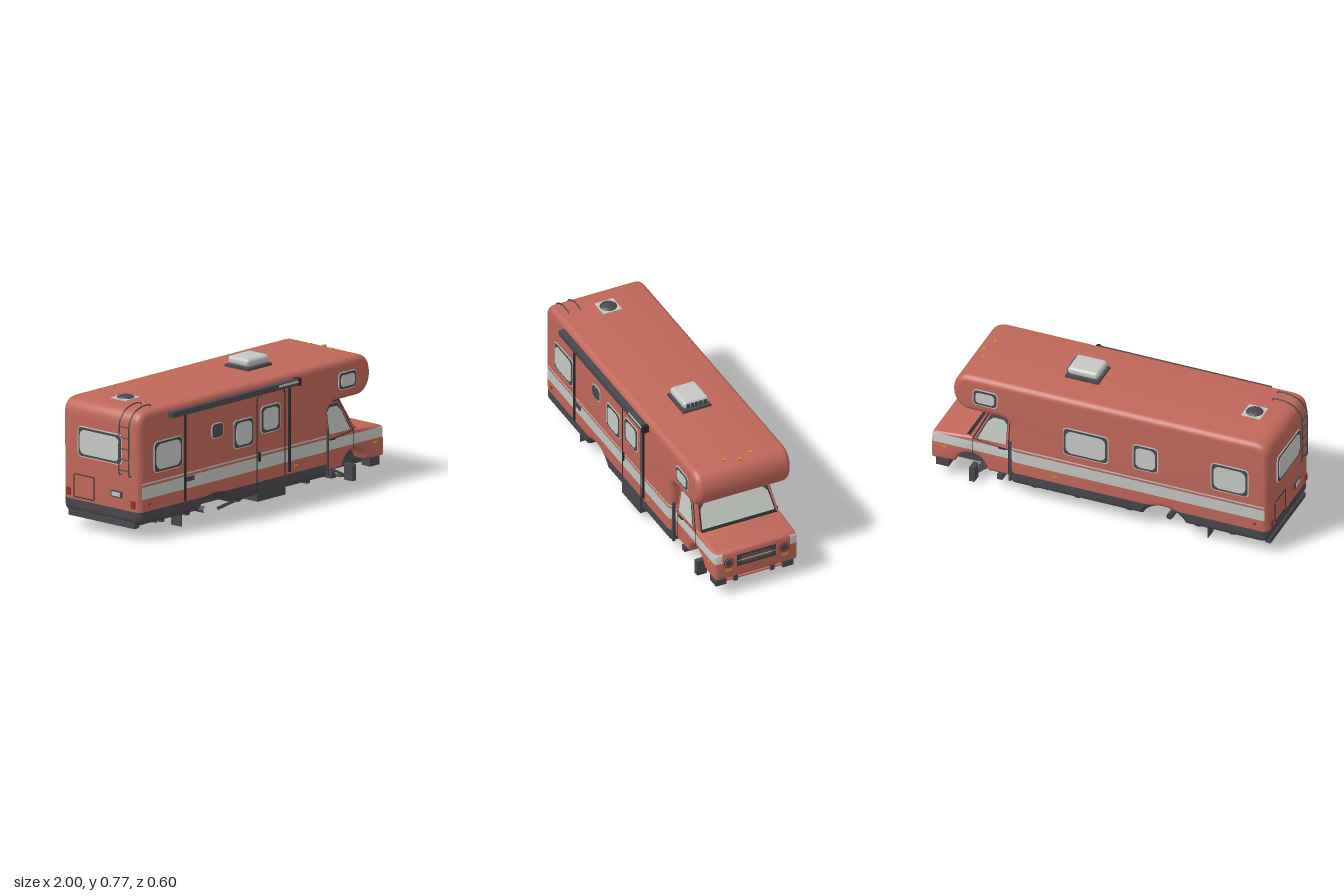
import * as THREE from 'three';
import { toCreasedNormals } from 'three/addons/utils/BufferGeometryUtils.js';
import { RoundedBoxGeometry } from 'three/addons/geometries/RoundedBoxGeometry.js';

const mat = (name, color) => Object.assign(new THREE.MeshStandardMaterial({ color }), { name });
const CZ = -0.015; // centre line of the vehicle

export function createModel() {
  const model = new THREE.Group();
  model.name = 'motorhome';
  const paint = mat('terracotta paint', 0xc0675a), stripe = mat('stripe grey', 0xc3c6c2),
    glass = mat('window glass', 0xc4c8c3), dark = mat('dark plastic', 0x4a484d),
    black = mat('black trim', 0x2a292c), amber = mat('amber lens', 0xcf9026),
    brown = mat('grille brown', 0x80614f), redLens = mat('red lens', 0x9a2f26);
  glass.side = black.side = THREE.DoubleSide;

  const add = (name, geo, material, x = 0, y = 0, z = 0, parent = model) => {
    const m = new THREE.Mesh(geo, material);
    m.name = name;
    m.position.set(x, y, z);
    parent.add(m);
    return m;
  };
  // box given by its limits
  const box = (name, material, x0, x1, y0, y1, z0, z1) =>
    add(name, new THREE.BoxGeometry(x1 - x0, y1 - y0, z1 - z0), material, (x0 + x1) / 2, (y0 + y1) / 2, (z0 + z1) / 2);
  const tube = (name, points, r, material = dark) =>
    add(name, new THREE.TubeGeometry(new THREE.CatmullRomCurve3(points.map(p => new THREE.Vector3(...p)), false, 'catmullrom', 0.2), 32, r, 6), material);

  // cuts a geometry at axis = value, giving [below, above]
  const split = (geo, axis, value) => {
    const p = geo.attributes.position, n = geo.attributes.normal;
    return [-1, 1].map(sign => {
      const pos = [], nor = [];
      for (let i = 0; i < p.count; i += 3) {
        const poly = [];
        const v = [0, 1, 2].map(k => [p.getX(i + k), p.getY(i + k), p.getZ(i + k), n.getX(i + k), n.getY(i + k), n.getZ(i + k)]);
        v.forEach((a, k) => {
          const b = v[(k + 1) % 3], da = sign * (a[axis] - value), db = sign * (b[axis] - value);
          if (da >= 0) poly.push(a);
          if (da * db < 0) poly.push(a.map((c, j) => c + (b[j] - c) * da / (da - db)));
        });
        for (let k = 2; k < poly.length; k++) {
          for (const q of [poly[0], poly[k - 1], poly[k]]) { pos.push(...q.slice(0, 3)); nor.push(...q.slice(3)); }
        }
      }
      const g = new THREE.BufferGeometry();
      g.setAttribute('position', new THREE.Float32BufferAttribute(pos, 3));
      g.setAttribute('normal', new THREE.Float32BufferAttribute(nor, 3));
      return g;
    });
  };
  // side profile extruded across the vehicle with rounded edges
  const hull = (shape, half, r) => {
    const g = new THREE.ExtrudeGeometry(shape, { depth: 2 * (half - r), bevelEnabled: true, bevelSize: r, bevelThickness: r, bevelOffset: -r, bevelSegments: 5, curveSegments: 14 });
    g.translate(0, 0, CZ - half + r);
    return toCreasedNormals(g.index ? g.toNonIndexed() : g, 0.6);
  };

  // living body with overcab bunk, cut into paint bands
  const s = new THREE.Shape();
  s.moveTo(-0.93, 0.08); s.lineTo(-0.49, 0.08);
  s.bezierCurveTo(-0.44, 0.175, -0.29, 0.175, -0.24, 0.08);
  s.lineTo(0.5, 0.08); s.quadraticCurveTo(0.525, 0.08, 0.525, 0.11);
  s.lineTo(0.525, 0.42); s.quadraticCurveTo(0.525, 0.485, 0.6, 0.488);
  s.lineTo(0.76, 0.488); s.bezierCurveTo(0.82, 0.488, 0.86, 0.54, 0.86, 0.6);
  s.bezierCurveTo(0.86, 0.67, 0.82, 0.71, 0.76, 0.71);
  s.lineTo(-0.89, 0.71); s.quadraticCurveTo(-0.98, 0.71, -0.98, 0.62);
  s.lineTo(-0.975, 0.13); s.quadraticCurveTo(-0.975, 0.08, -0.93, 0.08);
  let rest = hull(s, 0.28, 0.035);
  for (const [name, top, m] of [['skirt', 0.155, dark], ['lowerBody', 0.225, paint], ['bodyStripe', 0.293, stripe], ['stripeGap', 0.305, paint], ['bodyPinstripe', 0.314, stripe]]) {
    const [band, above] = split(rest, 1, top);
    rest = above;
    if (m === stripe) {
      const [rear, sides] = split(band, 0, -0.955);
      add(name + 'Rear', rear, paint);
      add(name, sides, m);
    } else add(name, band, m);
  }
  add('upperBody', rest, paint);

  // cab lower body and hood with wheel arch
  const c = new THREE.Shape();
  c.moveTo(0.49, 0.105); c.lineTo(0.67, 0.105);
  c.bezierCurveTo(0.69, 0.215, 0.83, 0.215, 0.86, 0.115);
  c.lineTo(0.985, 0.108); c.quadraticCurveTo(0.997, 0.108, 0.998, 0.13);
  c.lineTo(0.995, 0.255); c.quadraticCurveTo(0.993, 0.278, 0.97, 0.28);
  c.lineTo(0.77, 0.298); c.lineTo(0.49, 0.298); c.closePath();
  const [cabLow, cabUp] = split(hull(c, 0.246, 0.018), 1, 0.215);
  const [cabBand, cabTop] = split(cabUp, 1, 0.272);
  const [leftBand, inner] = split(cabBand, 2, CZ - 0.202);
  const [middle, rightBand] = split(inner, 2, CZ + 0.202);
  add('cabLower', cabLow, paint); add('cabTop', cabTop, paint); add('cabNose', middle, paint);
  add('cabStripe', leftBand, stripe); add('cabStripe', rightBand, stripe);

  // cab greenhouse tapering to the roof
  const halfAt = y => 0.24 - (y - 0.28) * 0.15, frontAt = y => 0.785 - (y - 0.28) * 0.55;
  const gh = new THREE.BoxGeometry(1, 1, 1).toNonIndexed(), gp = gh.attributes.position;
  for (let i = 0; i < gp.count; i++) {
    const y = gp.getY(i) > 0 ? 0.495 : 0.28;
    gp.setXYZ(i, gp.getX(i) > 0 ? frontAt(y) : 0.5, y, CZ + Math.sign(gp.getZ(i)) * halfAt(y));
  }
  gh.computeVertexNormals();
  add('cabGreenhouse', gh, paint);
  // flat polygon facing outward
  const poly = (name, pts, material) => {
    const v = [];
    for (let k = 2; k < pts.length; k++) v.push(...pts[0], ...pts[k - 1], ...pts[k]);
    const g = new THREE.BufferGeometry();
    g.setAttribute('position', new THREE.Float32BufferAttribute(v, 3));
    g.computeVertexNormals();
    add(name, g, material);
  };
  const shield = (name, pts, e, m) => poly(name, pts.map(([z, y]) => [frontAt(y) + e, y, CZ + z]), m);
  shield('windshieldSeal', [[0.226, 0.297], [-0.226, 0.297], [-0.197, 0.474], [0.197, 0.474]], 0.004, black);
  shield('windshieldShade', [[0.219, 0.303], [-0.219, 0.303], [-0.192, 0.468], [0.192, 0.468]], 0.006, dark);
  shield('windshield', [[0.217, 0.305], [-0.217, 0.305], [-0.202, 0.4], [-0.17, 0.43], [0.17, 0.43], [0.202, 0.4]], 0.008, glass);
  for (const d of [1, -1]) {
    const side = (name, pts, e, m) => {
      const q = pts.map(([x, y]) => [x, y, CZ + d * (halfAt(y) + e)]);
      poly(name, d > 0 ? q : q.reverse(), m);
    };
    side('cabWindowSeal', [[0.545, 0.27], [0.758, 0.29], [0.668, 0.475], [0.545, 0.475]], 0.006, black);
    side('cabWindowFrame', [[0.55, 0.275], [0.748, 0.295], [0.663, 0.469], [0.55, 0.469]], 0.008, paint);
    side('cabWindowShade', [[0.558, 0.3], [0.735, 0.3], [0.656, 0.462], [0.558, 0.462]], 0.01, dark);
    side('cabWindow', [[0.56, 0.302], [0.725, 0.302], [0.672, 0.415], [0.64, 0.445], [0.58, 0.445], [0.56, 0.42]], 0.012, glass);
    const z = CZ + d * 0.247;
    box('cabDoorHandle', black, 0.56, 0.605, 0.27, 0.278, z - 0.006, z + 0.006);
    for (const x of [0.545, 0.752]) box('cabDoorSeam', black, x, x + 0.003, x > 0.7 ? 0.19 : 0.12, 0.3, z - 0.001, z + 0.001);
    box('cornerTrim', dark, 0.523, 0.535, 0.09, 0.34, CZ + d * 0.262 - 0.008, CZ + d * 0.262 + 0.008);
    box('fenderMarker', amber, 0.91, 0.935, 0.19, 0.2, z - 0.004, z + 0.004);
    box('bodyMarker', amber, 0.25, 0.275, 0.19, 0.2, CZ + d * 0.28 - 0.004, CZ + d * 0.28 + 0.004);
    const lamp = add('sideLamp', new THREE.CylinderGeometry(0.009, 0.009, 0.008, 12), redLens, -0.9, 0.195, CZ + d * 0.28);
    lamp.rotation.x = Math.PI / 2;
    // front lamps
    const zl = CZ + d * 0.166;
    add('headlightRing', new THREE.TorusGeometry(0.027, 0.002, 6, 28), black, 0.998, 0.209, zl).rotation.y = Math.PI / 2;
    add('headlightSocket', new THREE.CircleGeometry(0.02, 24), dark, 1, 0.209, zl).rotation.y = Math.PI / 2;
    box('indicator', amber, 0.992, 1, 0.156, 0.168, zl - 0.017, zl + 0.017);
    box('hoodSeam', black, 0.79, 0.985, 0.28, 0.282, CZ + d * 0.205 - 0.0015, CZ + d * 0.205 + 0.0015).rotation.z = -0.09;
  }
  box('cowl', black, 0.772, 0.795, 0.29, 0.3, CZ - 0.225, CZ + 0.225);

  // grille
  box('grilleFrame', black, 0.985, 0.998, 0.173, 0.243, CZ - 0.117, CZ + 0.117);
  box('grilleInsert', brown, 0.985, 0.9985, 0.188, 0.229, CZ - 0.09, CZ + 0.09);
  for (const y of [0.182, 0.195, 0.222, 0.235]) box('grilleSlat', dark, 0.99, 1, y - 0.003, y + 0.003, CZ - 0.114, CZ + 0.114);
  box('grilleBar', stripe, 0.99, 1, 0.206, 0.21, CZ - 0.114, CZ + 0.114);

  // framed panels on body walls
  const rr = (w, h, r, S = THREE.Shape) => {
    const q = new S(), x = w / 2, y = h / 2, H = Math.PI / 2;
    [[x - r, y - r], [r - x, y - r], [r - x, r - y], [x - r, r - y]].forEach(([a, b], i) => q.absarc(a, b, r, i * H, (i + 1) * H));
    q.closePath();
    return q;
  };
  const slab = (shape, depth) => new THREE.ExtrudeGeometry(shape, { depth, bevelEnabled: false, curveSegments: 5 });
  const wall = (name, face, a0, a1, y0, y1) => {
    const g = new THREE.Group(), a = (a0 + a1) / 2, y = (y0 + y1) / 2;
    g.name = name;
    if (face === 'rear') { g.position.set(-0.979, y, a); g.rotation.y = -Math.PI / 2; }
    else { g.position.set(a, y, CZ + face * 0.279); g.rotation.y = face > 0 ? 0 : Math.PI; }
    model.add(g);
    return [g, a1 - a0, y1 - y0];
  };
  const windowOn = (face, a0, a1, y0, y1, pane = glass) => {
    const [g, w, h] = wall('window', face, a0, a1, y0, y1);
    add('windowFrame', slab(rr(w, h, 0.025), 0.004), stripe, 0, 0, 0, g);
    add('windowSeal', slab(rr(w - 0.012, h - 0.012, 0.02), 0.006), dark, 0, 0, 0, g);
    add('windowPane', slab(rr(w - 0.036, h - 0.036, Math.min(w, h) * 0.2), 0.008), pane, 0, 0, 0, g);
  };
  const outline = (name, face, a0, a1, y0, y1, t = 0.005, r = 0.03) => {
    const [g, w, h] = wall(name, face, a0, a1, y0, y1);
    const q = rr(w, h, r);
    q.holes.push(rr(w - 2 * t, h - 2 * t, r - t, THREE.Path));
    add(name + 'Trim', slab(q, 0.004), black, 0, 0, 0, g);
  };
  windowOn(1, -0.865, -0.64, 0.355, 0.53);
  windowOn(1, -0.41, -0.315, 0.46, 0.545, dark);
  windowOn(1, -0.235, -0.075, 0.37, 0.53);
  windowOn(1, -0.02, 0.135, 0.415, 0.57);
  windowOn(-1, -0.865, -0.645, 0.355, 0.53);
  windowOn(-1, -0.34, -0.19, 0.37, 0.53);
  windowOn(-1, -0.05, 0.215, 0.355, 0.53);
  for (const d of [1, -1]) windowOn(d, 0.595, 0.74, 0.542, 0.642);
  windowOn('rear', -0.18, 0.14, 0.4, 0.57);
  outline('entryDoor', 1, -0.052, 0.175, 0.08, 0.64, 0.006);
  outline('rearHatch', 'rear', -0.21, -0.06, 0.17, 0.3, 0.004, 0.01);
  box('rearPlateHolder', dark, -0.986, -0.975, 0.22, 0.255, 0.06, 0.14);
  box('rearPlate', stripe, -0.988, -0.98, 0.226, 0.249, 0.07, 0.13);
  for (const z of [-0.25, 0.22]) box('tailLamp', redLens, -0.984, -0.972, 0.175, 0.215, z - 0.015, z + 0.015);
  box('entryStep', dark, -0.048, 0.172, 0.05, 0.157, 0.15, 0.27);
  box('doorHandle', black, -0.04, -0.025, 0.27, 0.32, 0.26, 0.274);
  box('utilityInlet', dark, -0.61, -0.55, 0.265, 0.29, 0.26, 0.272);

  // awning with arms
  box('awningCase', dark, -0.75, 0.26, 0.645, 0.677, 0.26, 0.298);
  box('awningTip', stripe, 0.09, 0.245, 0.66, 0.672, 0.27, 0.3);
  box('awningEnd', black, 0.243, 0.265, 0.64, 0.682, 0.255, 0.3);
  for (const [x, y] of [[-0.62, 0.16], [0.205, 0.17]]) box('awningArm', black, x - 0.006, x + 0.006, y, 0.65, 0.26, 0.274);

  // roof fittings
  box('ventBase', dark, 0.093, 0.285, 0.705, 0.724, CZ - 0.084, CZ + 0.084);
  add('ventHood', new RoundedBoxGeometry(0.178, 0.046, 0.152, 4, 0.02), stripe, 0.189, 0.748, CZ);
  for (let i = -2; i <= 2; i++) box('ventLouver', dark, 0.27, 0.281, 0.735, 0.76, CZ + i * 0.025 - 0.01, CZ + i * 0.025 + 0.01);
  box('domeBase', stripe, -0.837, -0.727, 0.705, 0.717, CZ - 0.055, CZ + 0.055);
  add('roofDome', new THREE.SphereGeometry(0.048, 24, 8, 0, Math.PI * 2, 0, Math.PI / 2), dark, -0.782, 0.715, CZ).scale.y = 0.35;
  for (const [x, z] of [[0.76, -0.08], [0.79, 0], [0.76, 0.08]]) box('clearanceLamp', amber, x - 0.009, x + 0.009, 0.7, 0.715, CZ + z - 0.009, CZ + z + 0.009);

  // rear ladder
  for (const z of [0.133, 0.203]) tube('ladderRail', [[-0.82, 0.705, z], [-0.83, 0.722, z], [-0.89, 0.722, z], [-0.95, 0.7, z], [-0.99, 0.65, z], [-0.996, 0.58, z], [-0.996, 0.36, z], [-0.975, 0.35, z]], 0.004);
  for (let y = 0.38; y < 0.65; y += 0.06) tube('ladderRung', [[-0.995, y, 0.133], [-0.995, y, 0.203]], 0.004);

  // chassis frame and underside
  for (const d of [1, -1]) {
    box('frameRail', dark, -0.97, 0.97, 0.06, 0.1, CZ + d * 0.11 - 0.012, CZ + d * 0.11 + 0.012);
    box('bumperBracket', dark, 0.9, 0.975, 0.06, 0.108, CZ + d * 0.2 - 0.032, CZ + d * 0.2 + 0.032);
    box('mudFlap', dark, -0.618, -0.612, 0.012, 0.1, CZ + d * 0.215 - 0.037, CZ + d * 0.215 + 0.037);
    box('wheelHub', dark, 0.745, 0.775, 0.01, 0.1, CZ + d * 0.215 - 0.03, CZ + d * 0.215 + 0.03);
    tube('suspensionArm', [[0.76, 0.03, CZ + d * 0.2], [0.76, 0.016, CZ + d * 0.08]], 0.009);
    tube('strut', [[0.66, 0.09, CZ + d * 0.11], [0.76, 0.03, CZ + d * 0.19]], 0.007);
    for (const x of [-0.82, -0.68]) box('hanger', dark, x - 0.006, x + 0.006, 0.025, 0.09, CZ + d * 0.11 - 0.02, CZ + d * 0.11 + 0.02);
  }
  for (const x of [-0.96, -0.75, -0.55, -0.15, 0.15, 0.4, 0.6]) box('crossMember', dark, x - 0.015, x + 0.015, 0.062, 0.095, CZ - 0.24, CZ + 0.24);
  box('frontAxleBeam', dark, 0.74, 0.78, 0, 0.024, CZ - 0.095, CZ + 0.095);
  box('frontCrossBar', paint, 0.95, 0.965, 0.07, 0.079, CZ - 0.19, CZ + 0.19);
  box('wheelWell', dark, 0.64, 0.89, 0.11, 0.21, CZ - 0.15, CZ + 0.15);
  box('rearWheelWell', dark, -0.52, -0.21, 0.085, 0.17, CZ - 0.15, CZ + 0.15);
  box('cabFloor', dark, 0.52, 0.665, 0.1, 0.108, CZ - 0.23, CZ + 0.23);
  box('noseFloor', dark, 0.87, 0.975, 0.104, 0.112, CZ - 0.22, CZ + 0.22);
  tube('driveShaft', [[-0.37, 0.05, CZ], [0.5, 0.06, CZ]], 0.012);
  add('differential', new THREE.SphereGeometry(0.024, 16, 10), dark, -0.37, 0.05, CZ);
  tube('rearAxle', [[-0.37, 0.05, CZ - 0.2], [-0.37, 0.05, CZ + 0.2]], 0.018);
  tube('exhaust', [[-0.3, 0.045, 0.2], [-0.15, 0.05, 0.17], [0, 0.055, 0.15]], 0.01);
  return model;
}
